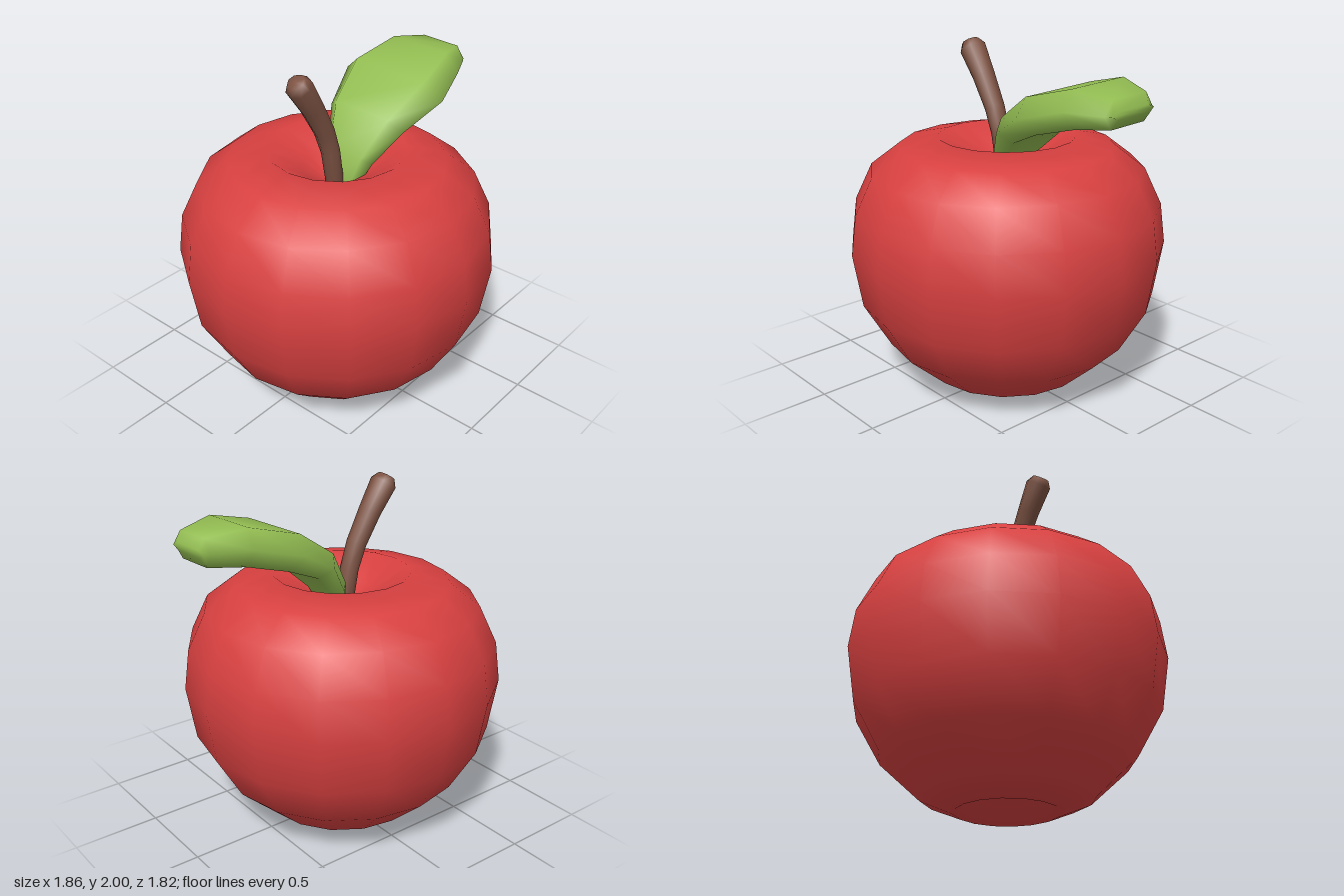
import * as THREE from 'three';

const red = new THREE.MeshStandardMaterial({ color: 0xd84040 });
red.name = 'apple red';
const brown = new THREE.MeshStandardMaterial({ color: 0x7f5444 });
brown.name = 'stem brown';
const green = new THREE.MeshStandardMaterial({ color: 0x93bd52 });
green.name = 'leaf green';

// Closed loft along a path in the xy plane.
// Stations are [x, y, half width in z, half thickness]; section is a unit outline [z, n].
function loft(stations, section, zShift = 0, roll = 0) {
  const pos = [], index = [];
  const n = section.length, last = stations.length - 1;
  const put = (x, y, z) => pos.push(x, y - roll * z, z + zShift);
  stations.forEach(([x, y, w, t], i) => {
    const a = stations[Math.max(i - 1, 0)], b = stations[Math.min(i + 1, last)];
    const len = Math.hypot(b[0] - a[0], b[1] - a[1]);
    const tx = (b[0] - a[0]) / len, ty = (b[1] - a[1]) / len;
    for (const [u, v] of section) put(x - ty * t * v, y + tx * t * v, w * u);
  });
  for (let i = 0; i < last; i++) {
    for (let j = 0; j < n; j++) {
      const a = i * n + j, b = i * n + (j + 1) % n;
      index.push(a, a + n, b, b, a + n, b + n);
    }
  }
  // end caps
  const c0 = pos.length / 3;
  put(stations[0][0], stations[0][1], 0);
  put(stations[last][0], stations[last][1], 0);
  for (let j = 0; j < n; j++) {
    const k = (j + 1) % n;
    index.push(c0, j, k, c0 + 1, last * n + k, last * n + j);
  }
  const g = new THREE.BufferGeometry();
  g.setAttribute('position', new THREE.Float32BufferAttribute(pos, 3));
  g.setIndex(index);
  g.computeVertexNormals();
  return g;
}

export function createModel() {
  const group = new THREE.Group();
  group.name = 'apple';
  const add = (name, geometry, material) => {
    const mesh = new THREE.Mesh(geometry, material);
    mesh.name = name;
    group.add(mesh);
    return mesh;
  };

  // Fruit with a dimple at both ends
  const profile = [
    [0, 0.12], [0.15, 0.07], [0.29, 0], [0.48, 0.08], [0.71, 0.29], [0.86, 0.55],
    [0.91, 0.86], [0.88, 1.09], [0.78, 1.3], [0.61, 1.43], [0.39, 1.48],
    [0.2, 1.36], [0, 1.24],
  ].map(([r, y]) => new THREE.Vector2(r, y));
  add('fruit', new THREE.LatheGeometry(profile, 16), red).position.x = -0.02;

  // Curved stem, thicker towards its bevelled tip
  const octagon = Array.from({ length: 8 }, (_, i) => {
    const a = (i / 8) * Math.PI * 2;
    return [Math.cos(a), Math.sin(a)];
  });
  add('stem', loft([
    [-0.03, 1.22, 0.05, 0.05], [-0.075, 1.48, 0.053, 0.053], [-0.125, 1.62, 0.057, 0.057],
    [-0.22, 1.79, 0.064, 0.064], [-0.315, 1.935, 0.076, 0.074], [-0.338, 1.97, 0.05, 0.048],
  ], octagon), brown);

  // Thick arched leaf
  const hexagon = [[1, 0], [0.7, 1], [-0.7, 1], [-1, 0], [-0.7, -1], [0.7, -1]];
  add('leaf', loft([
    [0.01, 1.25, 0.09, 0.035], [0.07, 1.41, 0.16, 0.055], [0.21, 1.585, 0.26, 0.078],
    [0.45, 1.715, 0.34, 0.1], [0.7, 1.78, 0.265, 0.1], [0.895, 1.772, 0.17, 0.075],
    [0.925, 1.77, 0.15, 0.02],
  ], hexagon, 0.02, 0.04), green);

  return group;
}
